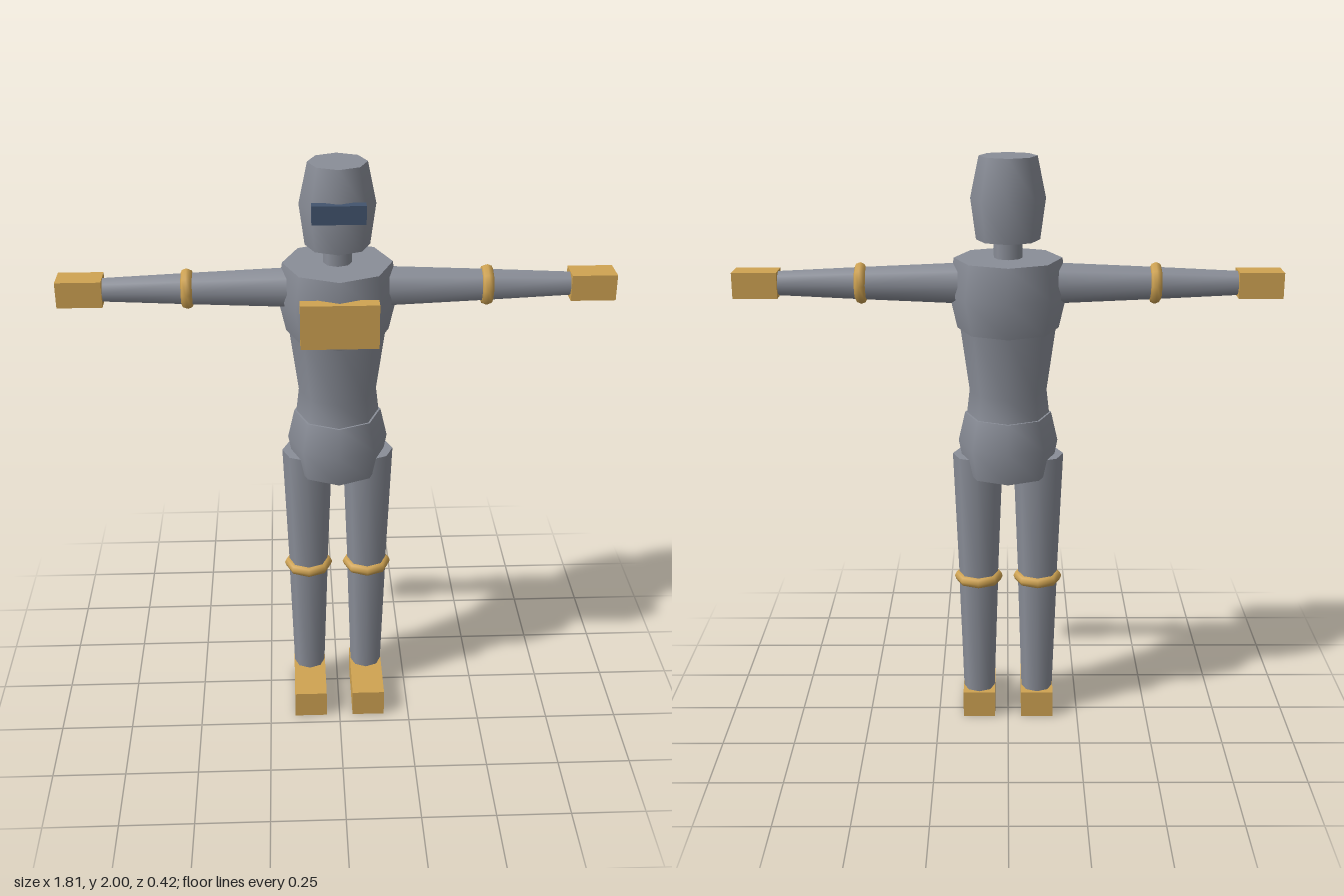
import * as THREE from 'three';
import { mergeGeometries } from 'three/addons/utils/BufferGeometryUtils.js';

const SIDES = 8;
const BODY_Z = -0.004;

const material = (name, color) => {
  const m = new THREE.MeshStandardMaterial({ color });
  m.name = name;
  return m;
};

// Smooth eight-sided turned solid with flat end caps; profile is [radius, y] from bottom to top
function turned(profile) {
  const side = new THREE.LatheGeometry(profile.map(([r, y]) => new THREE.Vector2(r, y)), SIDES);
  const [r0, y0] = profile[0];
  const [r1, y1] = profile[profile.length - 1];
  const bottom = new THREE.CircleGeometry(r0, SIDES).rotateX(Math.PI / 2).translate(0, y0, 0);
  const top = new THREE.CircleGeometry(r1, SIDES).rotateX(-Math.PI / 2).translate(0, y1, 0);
  return mergeGeometries([side, bottom, top]);
}

// Box given by its limits on each axis
function block([x0, x1], [y0, y1], [z0, z1]) {
  return new THREE.BoxGeometry(x1 - x0, y1 - y0, z1 - z0)
    .translate((x0 + x1) / 2, (y0 + y1) / 2, (z0 + z1) / 2);
}

export function createModel() {
  const grey = material('suit grey', 0x8a8e98);
  const gold = material('trim gold', 0xcfa352);
  const blue = material('visor blue', 0x42546e);

  const model = new THREE.Group();
  model.name = 'figure';
  const add = (parent, name, geometry, mat) => {
    const mesh = new THREE.Mesh(geometry, mat);
    mesh.name = name;
    parent.add(mesh);
    return mesh;
  };

  // Trunk and head, slightly narrower across than deep
  const trunk = {
    hips: [[0.156, 0.93], [0.178, 1.04], [0.154, 1.14]],
    abdomen: [[0.148, 1.13], [0.137, 1.22], [0.17, 1.45]],
    chest: [[0.178, 1.435], [0.206, 1.555], [0.188, 1.67]],
  };
  for (const [name, profile] of Object.entries(trunk)) {
    add(model, name, turned(profile).scale(0.95, 1, 1).translate(0, 0, BODY_Z), grey);
  }
  add(model, 'neck', turned([[0.047, 1.65], [0.047, 1.75]]).translate(0, 0, BODY_Z), grey);
  add(model, 'head', turned([[0.105, 1.73], [0.123, 1.865], [0.095, 2]])
    .translate(0, 0, BODY_Z), grey);

  // Visor and chest plate
  add(model, 'visor', block([-0.085, 0.085], [1.838, 1.898], [0.092, 0.128]), blue);
  add(model, 'chestPlate', block([-0.125, 0.125], [1.458, 1.605], [0.165, 0.212]), gold);

  for (const [side, s] of [['left', 1], ['right', -1]]) {
    // Arm: built upright with the hand end on top, then laid outwards
    const arm = new THREE.Group();
    arm.name = side + 'Arm';
    arm.position.set(0, 1.585, BODY_Z);
    arm.rotation.z = -s * Math.PI / 2;
    model.add(arm);
    add(arm, 'sleeve', turned([[0.07, 0.12], [0.054, 0.485], [0.04, 0.77]]), grey);
    add(arm, 'elbowBand',
      new THREE.TorusGeometry(0.05, 0.02, 8, SIDES).rotateX(Math.PI / 2).translate(0, 0.486, 0), gold);
    add(arm, 'hand', block([-0.043, 0.043], [0.757, 0.904], [-0.047, 0.047]), gold);

    // Leg
    const leg = new THREE.Group();
    leg.name = side + 'Leg';
    leg.position.set(s * 0.104, 0, 0);
    model.add(leg);
    add(leg, 'thigh', turned([[0.068, 0.53], [0.086, 0.99]]), grey);
    add(leg, 'shin', turned([[0.055, 0.09], [0.069, 0.53]]), grey);
    add(leg, 'kneeBand',
      new THREE.TorusGeometry(0.065, 0.02, 8, SIDES).rotateX(Math.PI / 2).translate(0, 0.53, 0), gold);
    add(leg, 'foot', block([-0.057, 0.057], [0, 0.097], [-0.063, 0.21]), gold);
  }
  return model;
}
